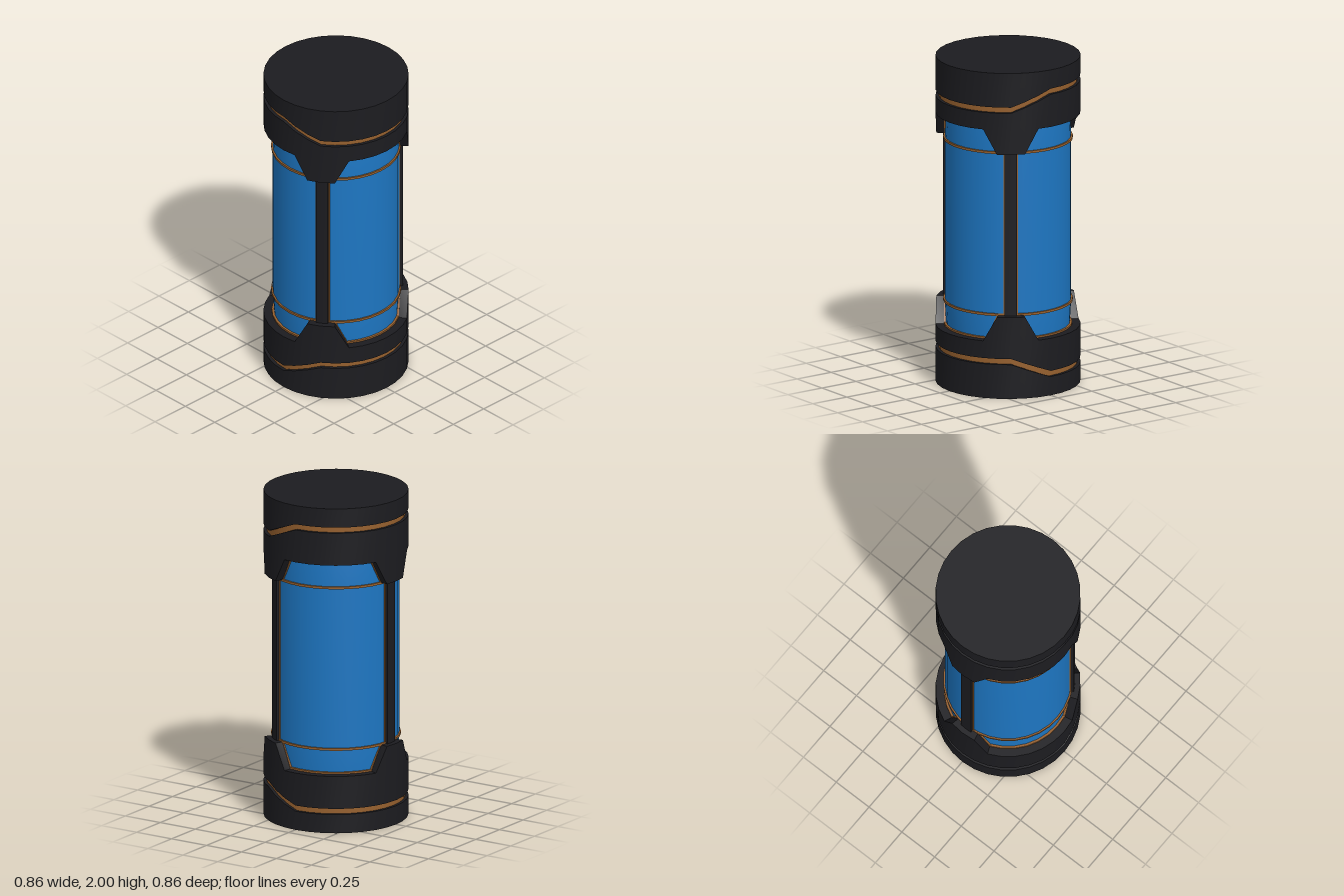
import * as THREE from 'three';
import { toCreasedNormals } from 'three/addons/utils/BufferGeometryUtils.js';

const SIDES = 32;
const STEP = 360 / SIDES;
const STRUTS = [56.25, 180, 303.75];
const material = (color) => new THREE.MeshStandardMaterial({ color });
const dark = material(0x1c1c20);
const blue = material(0x1d76c2);
const copper = material(0x96602e);

const ringAngles = Array.from({ length: SIDES + 1 }, (_, i) => i * STEP);

function mesh(name, geometry, mat, y = 0) {
  const m = new THREE.Mesh(geometry, mat);
  m.name = name;
  m.position.y = y;
  return m;
}

// Curved wall between two radii; bottom and top heights are functions of the angle
function shell(angles, r0, r1, bottom, top) {
  const sections = angles.map((deg) => {
    const a = THREE.MathUtils.degToRad(deg);
    const at = (r, y) => [r * Math.cos(a), y, r * Math.sin(a)];
    const y0 = bottom(deg), y1 = top(deg);
    return [at(r1, y0), at(r1, y1), at(r0, y1), at(r0, y0)];
  });
  const pos = [];
  const quad = (a, b, c, d) => pos.push(...a, ...b, ...c, ...a, ...c, ...d);
  for (let i = 0; i < sections.length - 1; i++) {
    const s = sections[i], t = sections[i + 1];
    for (let k = 0; k < 4; k++) {
      const n = (k + 1) % 4;
      quad(t[k], s[k], s[n], t[n]);
    }
  }
  // End walls of a partial ring
  if (angles[angles.length - 1] - angles[0] < 359) {
    const s = sections[0], e = sections[sections.length - 1];
    quad(s[3], s[2], s[1], s[0]);
    quad(e[0], e[1], e[2], e[3]);
  }
  const g = new THREE.BufferGeometry();
  g.setAttribute('position', new THREE.Float32BufferAttribute(pos, 3));
  return toCreasedNormals(g, 0.4);
}

const angleBetween = (a, b) => Math.abs(((a - b + 540) % 360) - 180);

// Groove height: high on one side, sloping down to a low run on the other
const wave = (offset) => (deg) =>
  offset + 0.095 * THREE.MathUtils.clamp((90 - angleBetween(deg, 0)) / 33.75, 0, 1);

// Collar edge, rising to a tapered tab at each strut
const collarEdge = (deg) => {
  const d = Math.min(...STRUTS.map((s) => angleBetween(deg, s)));
  return 0.35 + 0.15 * THREE.MathUtils.clamp((22.5 - d) / 11.25, 0, 1);
};

function endCap(name) {
  const cap = new THREE.Group();
  cap.name = name;
  cap.add(
    mesh('endPuck', shell(ringAngles, 0.36, 0.43, () => 0, wave(0.115)), dark),
    mesh('grooveBand', new THREE.CylinderGeometry(0.411, 0.411, 0.22, SIDES, 1, true), copper, 0.18),
    mesh('collar', shell(ringAngles, 0.36, 0.43, wave(0.15), collarEdge), dark),
    mesh('windowTrim', shell(ringAngles, 0.36, 0.381, collarEdge, (d) => collarEdge(d) + 0.01), copper),
    mesh('windowRing', shell(ringAngles, 0.36, 0.385, () => 0.495, () => 0.509), copper)
  );
  return cap;
}

export function createModel() {
  const model = new THREE.Group();
  model.name = 'canister';

  // Inner core, closing both ends
  model.add(mesh('core', new THREE.CylinderGeometry(0.36, 0.36, 2, SIDES), dark, 1));

  // Blue barrel, slightly narrowed at the ends
  const profile = [[0.366, 0.34], [0.375, 0.5], [0.375, 1.5], [0.366, 1.66]]
    .map(([r, y]) => new THREE.Vector2(r, y));
  model.add(mesh('barrel', new THREE.LatheGeometry(profile, SIDES), blue));

  // Matching end caps
  const topCap = endCap('topCap');
  topCap.rotation.x = Math.PI;
  topCap.position.y = 2;
  model.add(endCap('bottomCap'), topCap);

  // Struts with copper edging
  const span = (c, half) => [c - half, c, c + half];
  for (const c of STRUTS) {
    const strut = new THREE.Group();
    strut.name = 'strut';
    strut.add(
      mesh('strutBar', shell(span(c, 5.4), 0.36, 0.397, () => 0.45, () => 1.55), dark),
      mesh('strutTrim', shell(span(c, 6.5), 0.36, 0.381, () => 0.45, () => 1.55), copper)
    );
    model.add(strut);
  }
  return model;
}
